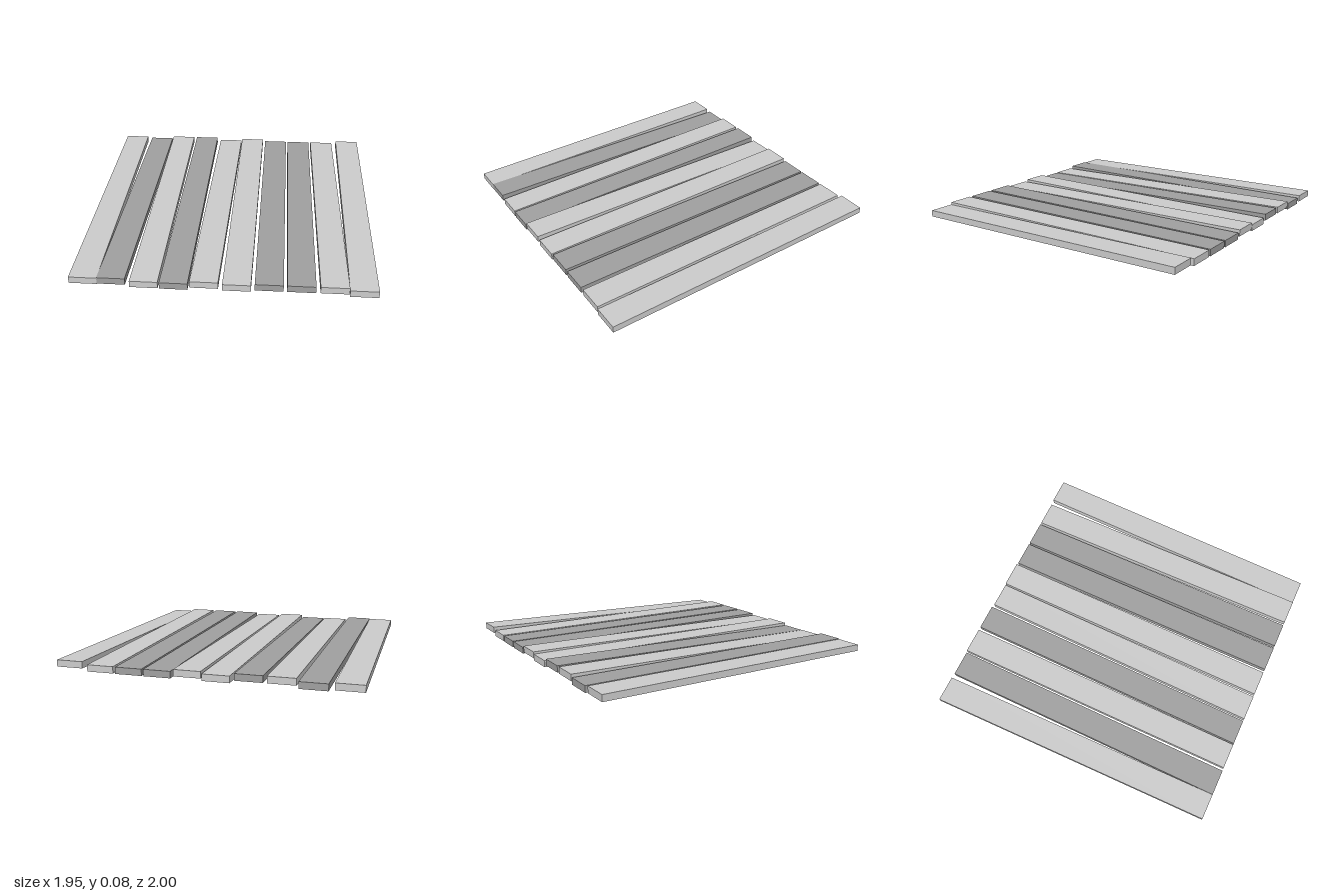
import * as THREE from 'three';

const WIDTH = 0.176, THICK = 0.044, LENGTH = 2;

// Each plank: centre x at back, centre x at front, centre y at back, centre y at front, dark
const PLANKS = [
  [-0.888, -0.86, 0.052, 0.039, false],
  [-0.677, -0.684, 0.043, 0.043, true],
  [-0.49, -0.482, 0.061, 0.027, false],
  [-0.29, -0.297, 0.061, 0.025, true],
  [-0.086, -0.109, 0.043, 0.043, false],
  [0.096, 0.092, 0.057, 0.032, false],
  [0.291, 0.291, 0.043, 0.043, true],
  [0.48, 0.488, 0.043, 0.043, true],
  [0.672, 0.69, 0.044, 0.044, false],
  [0.883, 0.868, 0.061, 0.027, false],
];

// A board whose two ends are shifted so it lies slightly askew
function plankGeometry(xBack, xFront, yBack, yFront) {
  const geometry = new THREE.BoxGeometry(WIDTH, THICK, LENGTH);
  const p = geometry.attributes.position;
  for (let i = 0; i < p.count; i++) {
    const front = p.getZ(i) > 0;
    p.setX(i, p.getX(i) + (front ? xFront : xBack));
    p.setY(i, p.getY(i) + (front ? yFront : yBack));
  }
  geometry.computeVertexNormals();
  return geometry;
}

export function createModel() {
  const model = new THREE.Group();
  model.name = 'plankFloor';
  const light = new THREE.MeshStandardMaterial({ color: 0xcccccc, flatShading: true });
  const dark = new THREE.MeshStandardMaterial({ color: 0xa0a0a0, flatShading: true });

  PLANKS.forEach(([xBack, xFront, yBack, yFront, isDark], i) => {
    const plank = new THREE.Mesh(plankGeometry(xBack, xFront, yBack, yFront), isDark ? dark : light);
    plank.name = `plank${i + 1}`;
    model.add(plank);
  });
  return model;
}
